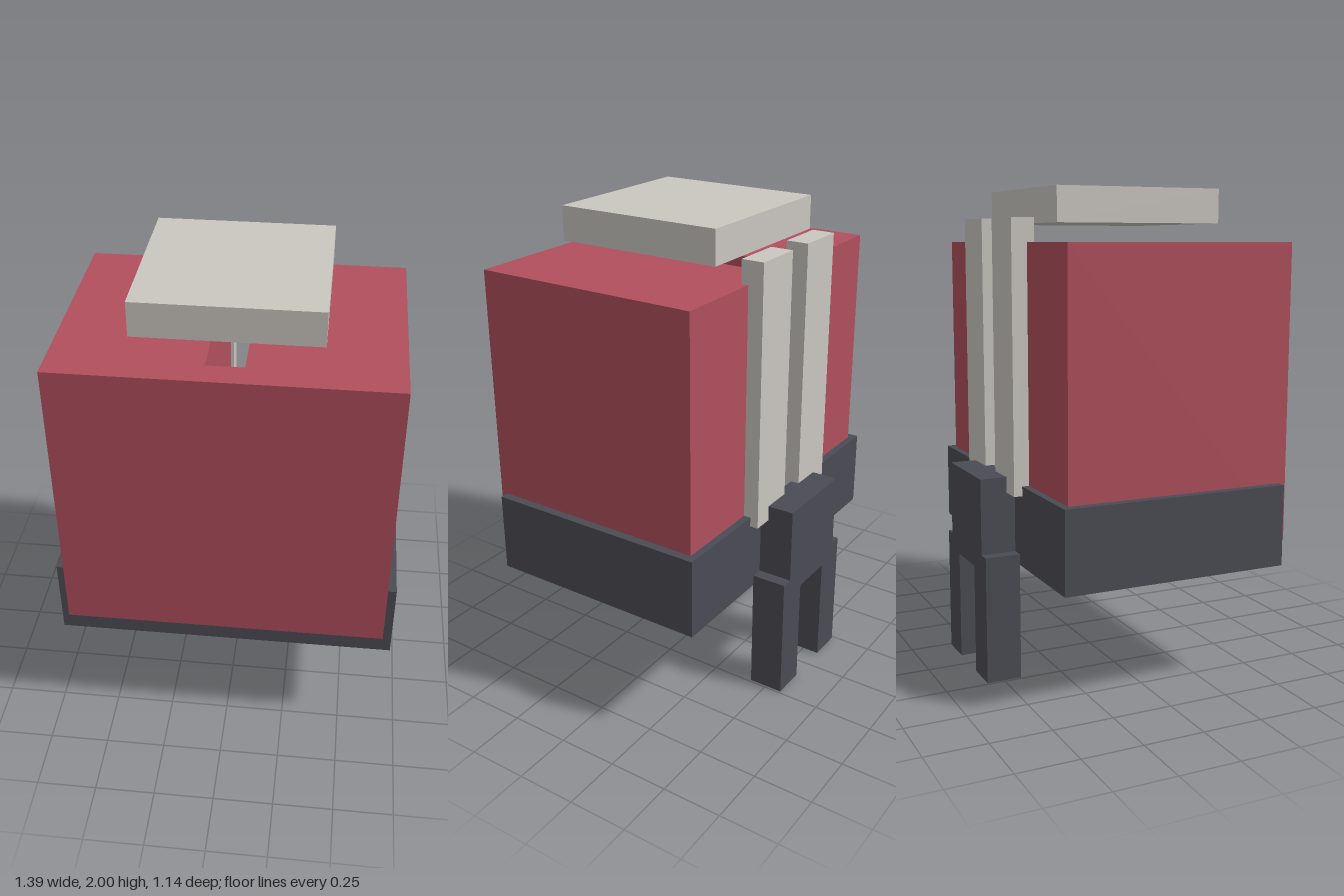
import * as THREE from 'three';

const flat = (name, color) => {
  const m = new THREE.MeshStandardMaterial({ color });
  m.name = name;
  return m;
};

export function createModel() {
  const red = flat('red', 0xb04f5c);
  const dark = flat('dark grey', 0x4b4b54);
  const pale = flat('pale grey', 0xcac6c0);
  const model = new THREE.Group();

  // Adds a box given its extents along each axis
  const box = (name, material, [x0, x1], [y0, y1], [z0, z1]) => {
    const mesh = new THREE.Mesh(new THREE.BoxGeometry(x1 - x0, y1 - y0, z1 - z0), material);
    mesh.position.set((x0 + x1) / 2, (y0 + y1) / 2, (z0 + z1) / 2);
    mesh.name = name;
    model.add(mesh);
  };

  // Body: U-shaped plan, with a vertical slot open to the back
  const plan = new THREE.Shape([
    [-0.66, -0.57], [0.66, -0.57], [0.66, 0.395], [0.073, 0.395],
    [0.073, -0.46], [-0.073, -0.46], [-0.073, 0.395], [-0.66, 0.395],
  ].map(([x, y]) => new THREE.Vector2(x, y)));
  const bodyGeometry = new THREE.ExtrudeGeometry(plan, { depth: 1.205, bevelEnabled: false });
  bodyGeometry.rotateX(-Math.PI / 2);
  const body = new THREE.Mesh(bodyGeometry, red);
  body.position.y = 0.58;
  body.name = 'body';
  model.add(body);

  // Base around the lower body, and the cap floating above it
  box('base', dark, [-0.697, 0.697], [0.485, 0.82], [-0.425, 0.54]);
  box('cap', pale, [-0.36, 0.36], [1.86, 2], [-0.305, 0.415]);

  // Hip block and mirrored legs and back rails
  box('hipBlock', dark, [-0.19, 0.19], [0.46, 0.845], [-0.572, -0.425]);
  for (const [side, s] of [['left', 1], ['right', -1]]) {
    const span = (a, b) => (s > 0 ? [a, b] : [-b, -a]);
    box(side + 'Leg', dark, span(0.097, 0.24), [0, 0.53], [-0.572, -0.425]);
    box(side + 'Rail', pale, span(0.06, 0.275), [0.78, 1.88], [-0.46, -0.365]);
  }
  return model;
}
